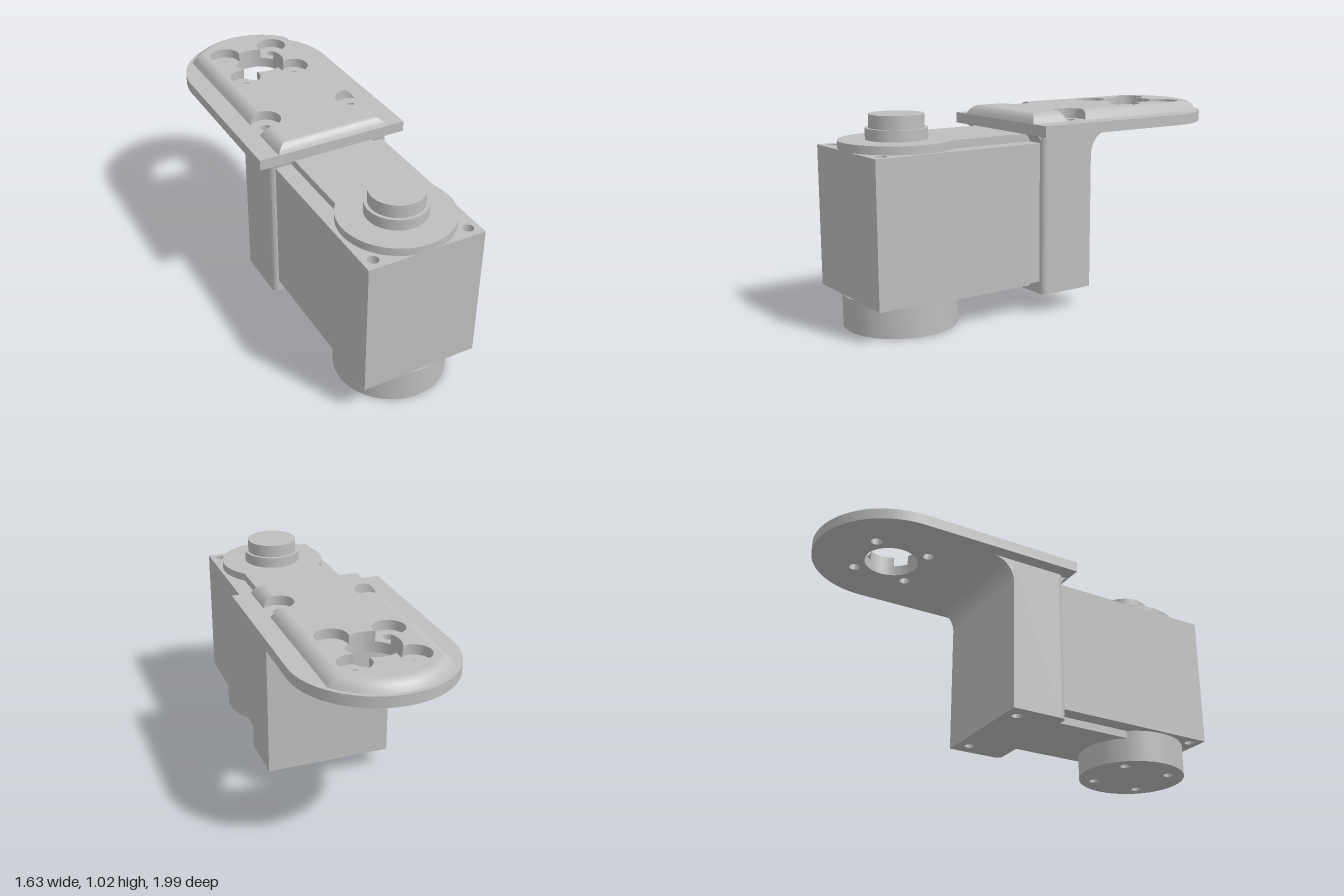
import * as THREE from 'three';
import { toCreasedNormals } from 'three/addons/utils/BufferGeometryUtils.js';

const HUB = -0.729;   // centre of the round plate end, along the arm
const SHAFT = 0.727;  // centre of the motor shaft, along the arm
const SCREW = [0.243, -0.13];
const TAU = Math.PI * 2;

const circle = (x, z, r) => {
  const p = new THREE.Path();
  p.absarc(x, z, r, 0, TAU, false);
  return p;
};

// Plan outline (x, z) extruded vertically between two heights
function slab(shape, y0, y1, holes = []) {
  shape.holes.push(...holes);
  const geo = new THREE.ExtrudeGeometry(shape, { depth: y1 - y0, bevelEnabled: false, curveSegments: 40 });
  geo.rotateX(Math.PI / 2).translate(0, y1, 0);
  return toCreasedNormals(geo, 0.5);
}

const polygon = (pts) => new THREE.Shape(pts.map(([x, z]) => new THREE.Vector2(x, z)));

// Side profile (z, y) extruded across the width
function crossBar(shape, halfWidth) {
  const geo = new THREE.ExtrudeGeometry(shape, { depth: halfWidth * 2, bevelEnabled: false, curveSegments: 16 });
  geo.rotateY(-Math.PI / 2).translate(halfWidth, 0, 0);
  return toCreasedNormals(geo, 0.5);
}

// Outline of the raised pad, inset by d, with screw notches in both sides
function padOutline(d) {
  const h = 0.30 - d, R = 0.38 - d;
  const half = [[h, 0.14 - d * 0.8]];
  const a = Math.acos((h - SCREW[0]) / 0.08);
  for (let i = 0; i <= 24; i++) {
    const t = a + (TAU - 2 * a) * i / 24;
    half.push([SCREW[0] + 0.08 * Math.cos(t), SCREW[1] + 0.08 * Math.sin(t)]);
  }
  const start = Math.acos(h / R);
  for (let i = 0; i <= 20; i++) {
    const t = start + (Math.PI / 2 - start) * i / 20;
    half.push([R * Math.cos(t), HUB - R * Math.sin(t)]);
  }
  const mirrored = half.slice(0, -1).reverse().map(([x, z]) => [-x, z]);
  return [...half, ...mirrored];
}

// Skin through equal-length outlines at rising heights
function loft(rings) {
  const pos = [];
  for (let k = 0; k < rings.length - 1; k++) {
    const lo = rings[k], hi = rings[k + 1], n = lo.pts.length;
    for (let i = 0; i < n; i++) {
      const j = (i + 1) % n;
      const at = (r, m) => [r.pts[m][0], r.y, r.pts[m][1]];
      const a = at(lo, i), b = at(lo, j), c = at(hi, j), e = at(hi, i);
      pos.push(...a, ...b, ...c, ...a, ...c, ...e);
    }
  }
  const geo = new THREE.BufferGeometry();
  geo.setAttribute('position', new THREE.Float32BufferAttribute(pos, 3));
  return toCreasedNormals(geo, 0.6);
}

// Central opening merged with its four counterbores
function hubOpening() {
  const R = 0.135, D = 0.2, r = 0.08;
  const alpha = Math.acos((D * D + r * r - R * R) / (2 * D * r));
  const beta = Math.acos((D * D + R * R - r * r) / (2 * D * R));
  const p = new THREE.Path();
  for (let i = 0; i < 4; i++) {
    const t = Math.PI / 4 + i * Math.PI / 2;
    const turn = Math.PI - alpha;
    p.absarc(D * Math.cos(t), HUB + D * Math.sin(t), r, t - turn, t + turn, false);
    p.absarc(0, HUB, R, t + beta, t + Math.PI / 2 - beta, false);
  }
  return p;
}

// Four small holes on a square pattern
const fourHoles = (z) => [0, 1, 2, 3].map((i) => {
  const t = Math.PI / 4 + i * Math.PI / 2;
  return circle(0.2 * Math.cos(t), z + 0.2 * Math.sin(t), 0.028);
});
const pair = (x, z) => [-1, 1].map((s) => circle(s * x, z, 0.027));

// Strip running from the bracket to the round boss around the shaft
function neckShape() {
  const s = new THREE.Shape(), w = 0.215, r = 0.28, phi = Math.acos(w / r);
  s.moveTo(-w, 0.1);
  s.lineTo(w, 0.1);
  s.absarc(0, SHAFT, r, -phi, Math.PI + phi, false);
  return s;
}

export function createModel() {
  const metal = new THREE.MeshStandardMaterial({ color: 0xbebebe });
  metal.name = 'grey metal';
  const model = new THREE.Group();
  model.name = 'motorBracket';
  const add = (name, geo) => {
    const mesh = new THREE.Mesh(geo, metal);
    mesh.name = name;
    model.add(mesh);
    return mesh;
  };

  // Motor housing with two through holes at the free end
  add('motorHousing', slab(polygon([[-0.3, 0.1], [0.3, 0.1], [0.3, 1], [-0.3, 1]]), 0.165, 0.865, pair(0.245, 0.943)));
  add('upperNeck', slab(neckShape(), 0.865, 0.905));
  add('lowerNeck', slab(neckShape(), 0.125, 0.165, fourHoles(SHAFT)));

  // Lower mounting disc
  const disc = new THREE.Shape();
  disc.absarc(0, SHAFT, 0.28, 0, TAU, false);
  add('lowerDisc', slab(disc, 0, 0.125, fourHoles(SHAFT)));

  // Stepped shaft
  add('shaftCollar', new THREE.CylinderGeometry(0.15, 0.15, 0.055, 48)).position.set(0, 0.9325, SHAFT);
  add('shaftCap', new THREE.CylinderGeometry(0.133, 0.133, 0.065, 48)).position.set(0, 0.9925, SHAFT);

  // Upright block behind the motor, front corners rounded
  const block = new THREE.Shape();
  block.moveTo(-0.33, -0.2);
  block.lineTo(0.33, -0.2);
  block.absarc(0.3, 0.07, 0.03, 0, Math.PI / 2, false);
  block.absarc(-0.3, 0.07, 0.03, Math.PI / 2, Math.PI, false);
  add('uprightBlock', slab(block, 0.1, 0.905, pair(SCREW[0], SCREW[1])));

  // Fillets joining the block to the plate
  const rear = new THREE.Shape();
  rear.moveTo(-0.2, 0.785);
  rear.lineTo(-0.2, 0.905);
  rear.lineTo(-0.32, 0.905);
  rear.absarc(-0.32, 0.785, 0.12, Math.PI / 2, 0, true);
  add('rearFillet', crossBar(rear, 0.33));
  const front = new THREE.Shape();
  front.moveTo(0.1, 0.865);
  front.absarc(0.14, 0.865, 0.04, Math.PI, Math.PI / 2, true);
  front.lineTo(0.1, 0.905);
  add('frontFillet', crossBar(front, 0.31));

  // Plate with a round end and drilled holes
  const plate = new THREE.Shape();
  plate.moveTo(0.4, 0.139);
  plate.lineTo(-0.4, 0.139);
  plate.absarc(0, HUB, 0.4, Math.PI, TAU, false);
  add('mountingPlate', slab(plate, 0.905, 0.96,
    [circle(0, HUB, 0.135), ...fourHoles(HUB), ...pair(SCREW[0], SCREW[1])]));

  // Raised pad with soft edges
  const levels = [[0.96, 0], [0.975, 0.008], [0.989, 0.018], [1.0, 0.031], [1.007, 0.044], [1.01, 0.058]];
  add('padEdge', loft(levels.map(([y, d]) => ({ y, pts: padOutline(d) }))));
  add('raisedPad', slab(polygon(padOutline(0.058)), 0.96, 1.01, [hubOpening()]));

  // The arm stands at an angle
  model.rotation.y = 0.6026;
  const root = new THREE.Group();
  root.name = 'model';
  root.add(model);
  return root;
}
